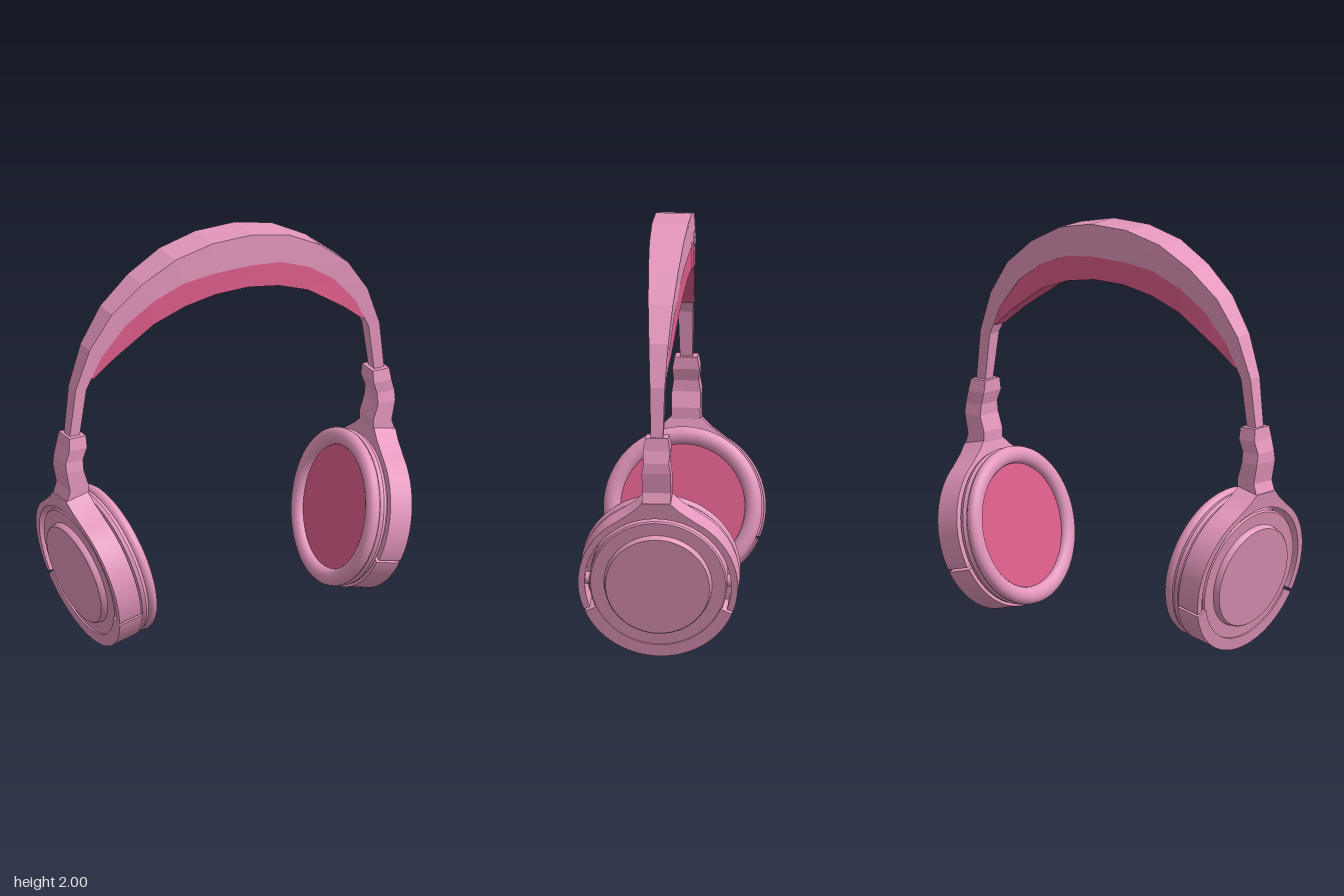
import * as THREE from 'three';
import { toCreasedNormals } from 'three/addons/utils/BufferGeometryUtils.js';

const pink = new THREE.MeshStandardMaterial({ color: 0xe396bb });
pink.name = 'soft pink';
const rose = new THREE.MeshStandardMaterial({ color: 0xdc5d8a });
rose.name = 'rose lining';

function add(parent, name, geometry, material) {
  const mesh = new THREE.Mesh(geometry, material);
  mesh.name = name;
  parent.add(mesh);
  return mesh;
}

// Faceted bar through rectangular sections [outerX, outerY, innerX, innerY, halfWidth]
function loft(sections) {
  const rings = sections.map(([ox, oy, ix, iy, w]) =>
    [[ox, oy, w], [ox, oy, -w], [ix, iy, -w], [ix, iy, w]]);
  const pos = [];
  const quad = (a, b, c, d) => pos.push(...a, ...b, ...c, ...a, ...c, ...d);
  for (let s = 0; s < rings.length - 1; s++) {
    for (let j = 0; j < 4; j++) {
      const k = (j + 1) % 4;
      quad(rings[s][j], rings[s + 1][j], rings[s + 1][k], rings[s][k]);
    }
  }
  const [p, q] = [rings[0], rings[rings.length - 1]];
  quad(p[0], p[1], p[2], p[3]);
  quad(q[3], q[2], q[1], q[0]);
  const g = new THREE.BufferGeometry();
  g.setAttribute('position', new THREE.Float32BufferAttribute(pos, 3));
  g.computeVertexNormals();
  return g;
}

// Extends a right half, listed from the top centre down, to both sides
function mirrored(half) {
  const left = half.map(([ox, oy, ix, iy, w]) => [-ox, oy, -ix, iy, w]).reverse();
  return left.concat(half);
}

// Turned part whose axis points outward along x; profile points are [radius, x]
function turned(profile) {
  const g = new THREE.LatheGeometry(profile.map(([r, a]) => new THREE.Vector2(r, a)), 64);
  g.rotateZ(-Math.PI / 2);
  return toCreasedNormals(g, 0.6);
}

// Ring with an oval section
function ovalRing(radius, offset, radial, axial) {
  const profile = [];
  for (let i = 0; i <= 16; i++) {
    const t = (i / 16) * Math.PI * 2;
    profile.push([radius + Math.cos(t) * radial, offset + Math.sin(t) * axial]);
  }
  return turned(profile);
}

// Flat outline in the cup's plane, given depth inward from x = 0
function plate(shape, depth) {
  const g = new THREE.ExtrudeGeometry(shape, { depth, bevelEnabled: false, curveSegments: 48 });
  g.translate(0, 0, -depth);
  g.rotateY(Math.PI / 2);
  return toCreasedNormals(g, 0.4);
}

const rad = THREE.MathUtils.degToRad;

function yokeShape() {
  const s = new THREE.Shape();
  const R = 0.387;
  s.absarc(0, 0, R, rad(-21), rad(60), false);
  s.lineTo(0.115, 0.392);
  s.lineTo(0.07, 0.435);
  s.lineTo(-0.07, 0.435);
  s.lineTo(-0.115, 0.392);
  s.absarc(0, 0, R, rad(120), rad(201), false);
  s.absarc(0, 0, 0.355, rad(201), rad(-21), true);
  return s;
}

function rimShape() {
  const s = new THREE.Shape();
  s.absarc(0, 0, 0.387, rad(203), rad(337), false);
  s.absarc(0, 0, 0.325, rad(337), rad(203), true);
  return s;
}

function makeEarpiece() {
  const side = new THREE.Group();

  // Slider that grips the end of the band and runs down to the yoke
  add(side, 'slider', loft([
    [0.88, 1.12, 0.79, 1.12, 0.055],
    [0.887, 1.06, 0.79, 1.06, 0.066],
    [0.905, 1.0, 0.81, 1.0, 0.061],
    [0.905, 0.95, 0.81, 0.945, 0.07],
    [0.885, 0.85, 0.785, 0.87, 0.07],
    [0.903, 0.795, 0.785, 0.77, 0.07],
  ]), pink);

  // Tilted cup assembly
  const cup = new THREE.Group();
  cup.name = 'earCup';
  cup.position.set(0.805, 0.376, 0);
  cup.rotation.z = -rad(13.5);
  side.add(cup);

  add(cup, 'yoke', plate(yokeShape(), 0.122), pink);
  add(cup, 'lowerRim', plate(rimShape(), 0.128), pink);
  add(cup, 'cupShell', turned([
    [0, -0.15], [0.3, -0.15], [0.334, -0.1], [0.334, -0.016], [0.327, -0.008],
    [0.262, -0.008], [0.257, 0.017], [0.252, 0.022], [0, 0.022],
  ]), pink);

  // Pivots joining the cup to the yoke arms
  for (const z of [-1, 1]) {
    const pivot = add(cup, 'pivot', new THREE.CylinderGeometry(0.03, 0.03, 0.05, 16), pink);
    pivot.rotation.x = Math.PI / 2;
    pivot.position.set(-0.06, 0, z * 0.345);
  }

  // Backing ring, cushion and lining
  add(cup, 'cushionBase', turned([
    [0, -0.178], [0.36, -0.178], [0.374, -0.172], [0.381, -0.155],
    [0.376, -0.137], [0.36, -0.13], [0, -0.13],
  ]), pink);
  add(cup, 'earCushion', ovalRing(0.343, -0.197, 0.042, 0.033), pink);
  const lining = new THREE.CircleGeometry(0.33, 64);
  lining.rotateY(-Math.PI / 2);
  add(cup, 'earLining', lining, rose).position.x = -0.195;
  return side;
}

export function createModel() {
  const model = new THREE.Group();
  model.name = 'headphones';

  // Headband: wide at the crown, slim at the ends
  add(model, 'headband', loft(mirrored([
    [0.11, 2.0, 0.1, 1.84, 0.088],
    [0.31, 1.955, 0.27, 1.82, 0.083],
    [0.49, 1.86, 0.43, 1.755, 0.073],
    [0.65, 1.73, 0.575, 1.655, 0.06],
    [0.765, 1.56, 0.7, 1.51, 0.047],
    [0.837, 1.36, 0.778, 1.35, 0.036],
    [0.865, 1.12, 0.81, 1.12, 0.03],
    [0.87, 1.04, 0.82, 1.04, 0.03],
  ])), pink);

  // Padding under the crown
  add(model, 'headPad', loft(mirrored([
    [0.1, 1.85, 0.09, 1.728, 0.086],
    [0.275, 1.83, 0.26, 1.697, 0.081],
    [0.435, 1.765, 0.425, 1.635, 0.072],
    [0.58, 1.665, 0.63, 1.495, 0.055],
    [0.705, 1.515, 0.7, 1.437, 0.045],
    [0.755, 1.415, 0.742, 1.4, 0.039],
  ])), rose);

  // Matching earpieces
  const left = makeEarpiece();
  left.name = 'leftEarpiece';
  const right = makeEarpiece();
  right.name = 'rightEarpiece';
  right.rotation.y = Math.PI;
  model.add(left, right);
  return model;
}
